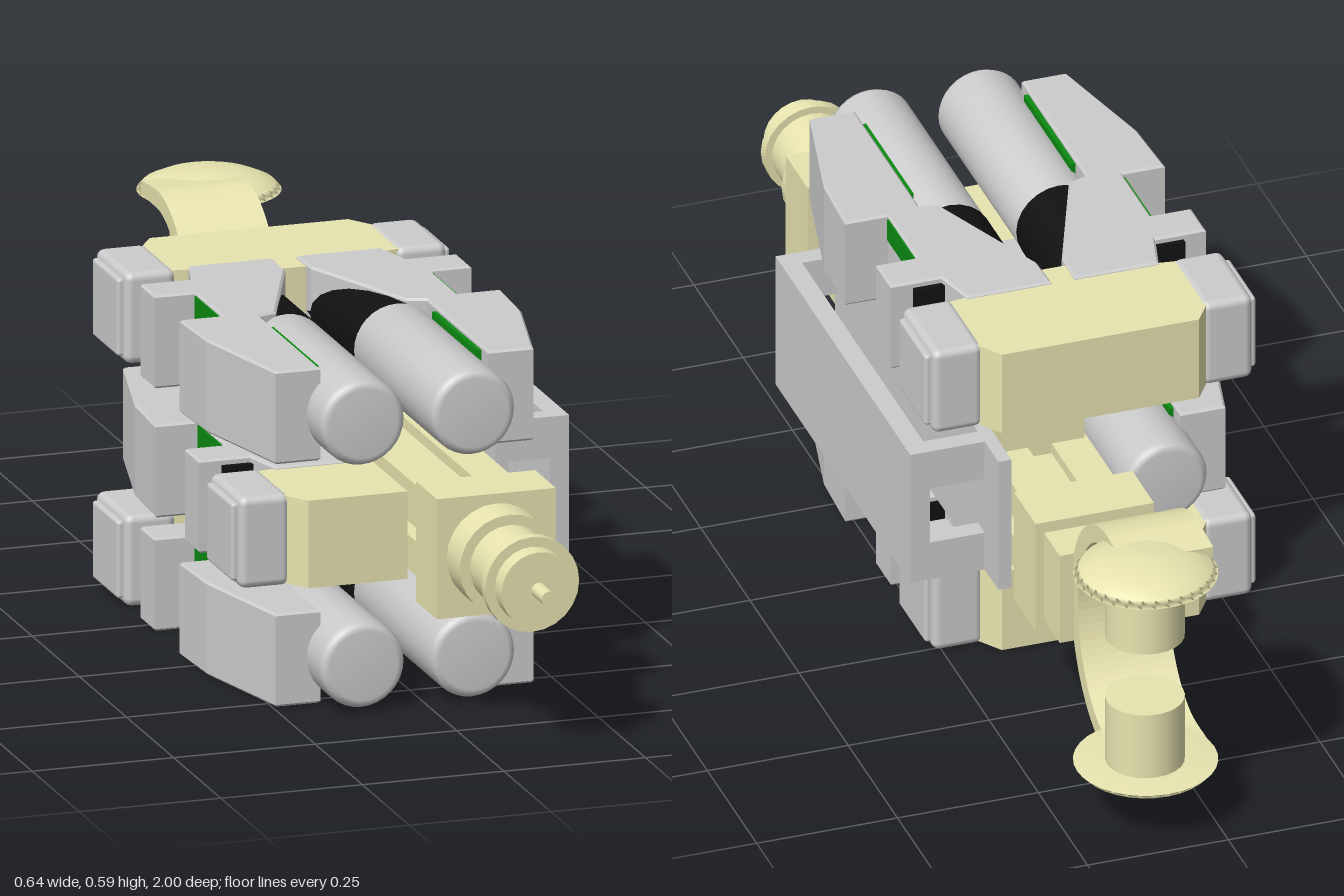
import * as THREE from 'three';
import { RoundedBoxGeometry } from 'three/addons/geometries/RoundedBoxGeometry.js';

const mat = (color) => new THREE.MeshStandardMaterial({ color, side: THREE.DoubleSide });
const GREY = mat(0xcccccc), TAN = mat(0xe8e4b0), GREEN = mat(0x0c8a12), BLACK = mat(0x111111);

function add(parent, name, geometry, material) {
  const m = new THREE.Mesh(geometry, material);
  m.name = name;
  parent.add(m);
  return m;
}

// Box given by its min/max on each axis, with optional rounding
function box(parent, name, material, [x0, x1], [y0, y1], [z0, z1], r = 0) {
  const s = [x1 - x0, y1 - y0, z1 - z0];
  const g = r ? new RoundedBoxGeometry(...s, 2, r) : new THREE.BoxGeometry(...s);
  g.translate((x0 + x1) / 2, (y0 + y1) / 2, (z0 + z1) / 2);
  return add(parent, name, g, material);
}

// Cylinder lying along z
function rod(parent, name, material, r, x, y, z0, z1, sides = 24) {
  const g = new THREE.CylinderGeometry(r, r, z1 - z0, sides);
  g.rotateX(Math.PI / 2).translate(x, y, (z0 + z1) / 2);
  return add(parent, name, g, material);
}

// Flat outline in x/z, thickened evenly about y = 0
function slab(parent, name, material, pts, height, bevel = 0) {
  const shape = new THREE.Shape(pts.map((p) => new THREE.Vector2(...p)));
  const depth = height - 2 * bevel;
  const g = new THREE.ExtrudeGeometry(shape, {
    depth, bevelEnabled: bevel > 0, bevelSize: bevel, bevelOffset: -bevel,
    bevelThickness: bevel, bevelSegments: 1,
  });
  g.rotateX(Math.PI / 2).translate(0, depth / 2, 0);
  return add(parent, name, g, material);
}

// One half of a pod: its inner edge is x = 0, it grows toward +x
function halfPod() {
  const g = new THREE.Group();
  g.name = 'halfPod';

  // rear body
  slab(g, 'rearBody', TAN, [
    [0, -0.3], [0.175, -0.3], [0.215, -0.24], [0.215, -0.11], [0.147, -0.1], [0.147, -0.06], [0, -0.06],
  ], 0.153);

  // wing with side notch and slanted inner cut
  slab(g, 'wing', GREY, [
    [0.02, -0.11], [0.17, -0.11], [0.19, -0.035], [0.28, -0.035], [0.28, 0.04], [0.208, 0.04],
    [0.208, 0.185], [0.284, 0.185], [0.278, 0.31], [0.228, 0.525], [0.148, 0.525], [0.148, 0.2],
    [0.115, 0.19], [0.022, -0.04],
  ], 0.163, 0.004);

  // notch lining and slot strip
  for (const y of [-0.056, 0.056]) {
    box(g, 'notchLining', GREEN, [0.195, 0.211], [y - 0.02, y + 0.02], [0.045, 0.18]);
    box(g, 'slotStrip', GREEN, [0.14, 0.15], [y - 0.005, y + 0.018], [0.25, 0.49]);
  }
  box(g, 'gapFiller', BLACK, [0.15, 0.24], [-0.07, 0.07], [-0.045, -0.03]);

  // rear corner cap
  box(g, 'cornerCap', GREY, [0.195, 0.284], [-0.08, 0.08], [-0.265, -0.1], 0.014);
  box(g, 'capPlate', GREY, [0.26, 0.294], [-0.068, 0.068], [-0.25, -0.115], 0.006);

  // booster cylinder with a rounded nose, dark behind
  const profile = [[0, 0.603], [0.06, 0.603], [0.07, 0.598], [0.075, 0.588], [0.075, 0.17], [0, 0.17]];
  const booster = new THREE.LatheGeometry(profile.map((p) => new THREE.Vector2(...p)), 32);
  booster.rotateX(Math.PI / 2).translate(0.0975, 0, 0);
  add(g, 'booster', booster, GREY);
  rod(g, 'boosterRear', BLACK, 0.076, 0.0975, 0, -0.06, 0.19);
  return g;
}

// Claw: half-ring arm with two domed jaws and pegs
function claw() {
  const g = new THREE.Group();
  g.name = 'claw';
  const s = new THREE.Shape();
  s.moveTo(-0.88, -0.208);
  s.lineTo(-0.8, -0.215);
  s.absellipse(-0.8, 0, 0.185, 0.215, -Math.PI / 2, Math.PI / 2, false);
  s.lineTo(-0.88, 0.208);
  s.lineTo(-0.88, 0.184);
  s.lineTo(-0.8, 0.184);
  s.absellipse(-0.8, 0, 0.15, 0.184, Math.PI / 2, -Math.PI / 2, true);
  s.lineTo(-0.88, -0.184);
  const arm = new THREE.ExtrudeGeometry(s, { depth: 0.16, bevelEnabled: false, curveSegments: 20 });
  arm.rotateY(-Math.PI / 2).translate(0.145, 0, 0);
  add(g, 'clawArm', arm, TAN);

  for (const side of [1, -1]) {
    const jaw = new THREE.Group();
    jaw.name = 'clawJaw';
    jaw.position.set(0.105, 0, -0.88);
    jaw.scale.y = side;
    const dome = [[0, 0.182], [0.122, 0.182], [0.112, 0.193], [0.085, 0.205], [0.05, 0.213], [0, 0.216]];
    add(jaw, 'jawDome', new THREE.LatheGeometry(dome.map((p) => new THREE.Vector2(...p)), 32), TAN);
    const peg = new THREE.CylinderGeometry(0.067, 0.067, 0.125, 24);
    add(jaw, 'jawPeg', peg.translate(0, 0.122, 0.003), TAN);
    g.add(jaw);
  }
  return g;
}

export function createModel() {
  const model = new THREE.Group();
  model.name = 'model';
  const X = 0.08, Y = 0.295;

  // spine: core and four corner rails
  box(model, 'spineCore', TAN, [0.02, 0.14], [0.235, 0.355], [-0.56, 0.62]);
  for (const sx of [-1, 1]) for (const sy of [-1, 1]) {
    const cx = X + sx * 0.053, cy = Y + sy * 0.049;
    box(model, 'spineRail', TAN, [cx - 0.032, cx + 0.032], [cy - 0.03, cy + 0.03], [-0.45, 0.62]);
  }
  box(model, 'podMount', TAN, [0, 0.158], [0.16, 0.43], [-0.27, -0.02]);
  box(model, 'podMountPlate', TAN, [-0.015, 0.17], [0.165, 0.425], [-0.22, -0.08]);

  // collars
  box(model, 'frontCollar', TAN, [-0.025, 0.185], [0.19, 0.4], [0.61, 0.72]);
  box(model, 'rearCollar', TAN, [-0.025, 0.185], [0.19, 0.4], [-0.55, -0.44]);
  box(model, 'clawSocket', TAN, [-0.01, 0.17], [0.21, 0.38], [-0.63, -0.55]);

  // nozzle, stepped along z: radius, start, end
  [[0.088, 0.72, 0.79], [0.07, 0.79, 0.89], [0.083, 0.89, 0.91], [0.066, 0.91, 0.945], [0.013, 0.945, 1]]
    .forEach(([r, z0, z1]) => rod(model, 'nozzleStep', TAN, r, X, Y, z0, z1, 24));

  const c = claw();
  c.position.y = Y;
  model.add(c);

  // upper and lower pods, each from two mirrored halves
  for (const [name, y, flip] of [['upperPod', 0.507, 1], ['lowerPod', 0.083, -1]]) {
    const pod = new THREE.Group();
    pod.name = name;
    for (const side of [1, -1]) {
      const h = halfPod();
      h.scale.x = side;
      pod.add(h);
    }
    pod.position.set(-0.0175, y, 0);
    pod.scale.y = flip;
    model.add(pod);
  }

  // single half pod on the side, turned back to front
  const sidePod = halfPod();
  sidePod.name = 'sidePod';
  sidePod.rotation.y = Math.PI;
  sidePod.position.set(-0.027, Y, 0.27);
  model.add(sidePod);

  // side handle: inner plate, outer plate and forked end bars
  const handle = new THREE.Group();
  handle.name = 'sideHandle';
  box(handle, 'innerPlate', GREY, [0.165, 0.188], [0.17, 0.42], [-0.37, 0.46]);
  box(handle, 'outerPlate', GREY, [0.285, 0.32], [0.17, 0.42], [-0.3, 0.385]);
  for (const z of [-0.3, 0.35]) for (const y of [0.17, 0.348]) {
    box(handle, 'endBar', GREY, [0.18, 0.29], [y, y + 0.072], [z, z + 0.035]);
  }
  model.add(handle);
  return model;
}
